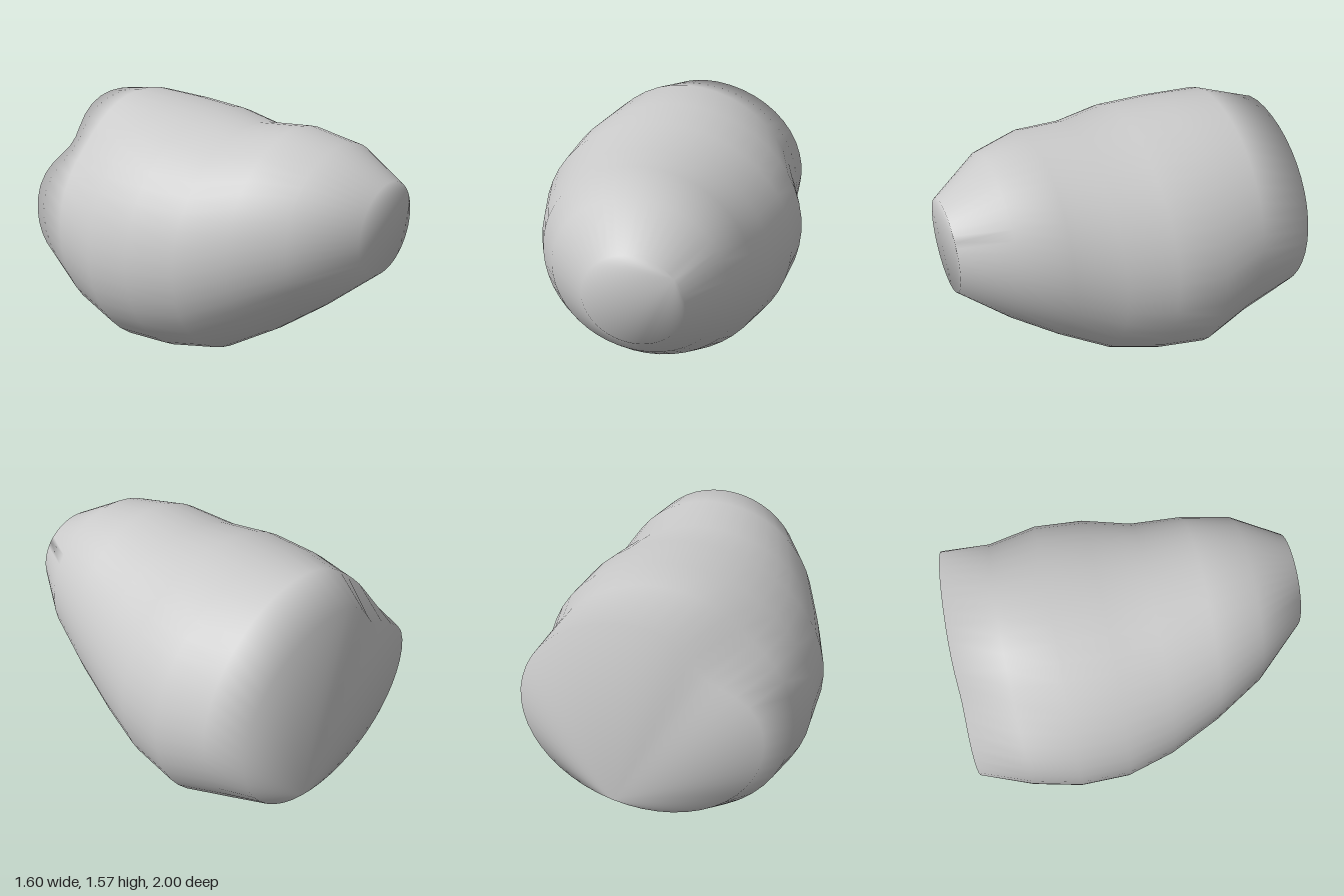
import * as THREE from 'three';

const SEGMENTS = 48;

// Cross-sections from front to back: z, left/right x limits, bottom/top y limits, dent depth
const SECTIONS = [
  [1.0, -0.17, 0.39, 0.78, 1.32, 0],
  [0.71, -0.44, 0.56, 0.52, 1.49, 0],
  [0.43, -0.60, 0.64, 0.30, 1.54, 0],
  [0.14, -0.72, 0.70, 0.11, 1.51, 0],
  [-0.14, -0.80, 0.78, 0.04, 1.55, 0],
  [-0.43, -0.80, 0.80, 0.0, 1.56, 0],
  [-0.71, -0.75, 0.71, 0.09, 1.575, 0.05],
  [-1.0, -0.66, 0.71, 0.29, 1.51, 0.22],
];

const DENT_ANGLE = THREE.MathUtils.degToRad(132);

function createBodyGeometry() {
  const positions = [];
  const indices = [];

  // Rounded rings, with a shallow hollow in the upper side near the back
  for (const [z, x0, x1, y0, y1, dent] of SECTIONS) {
    for (let j = 0; j < SEGMENTS; j++) {
      const angle = (j / SEGMENTS) * Math.PI * 2;
      const r = 1 - dent * Math.exp(-(((angle - DENT_ANGLE) / 0.38) ** 2));
      positions.push(
        (x0 + x1) / 2 + ((x1 - x0) / 2) * r * Math.cos(angle),
        (y0 + y1) / 2 + ((y1 - y0) / 2) * r * Math.sin(angle),
        z
      );
    }
  }

  // Skin between neighbouring rings
  const at = (i, j) => i * SEGMENTS + (j % SEGMENTS);
  for (let i = 0; i < SECTIONS.length - 1; i++) {
    for (let j = 0; j < SEGMENTS; j++) {
      indices.push(at(i, j), at(i + 1, j), at(i, j + 1));
      indices.push(at(i, j + 1), at(i + 1, j), at(i + 1, j + 1));
    }
  }

  // Flat ends, each fanned from one rim point and sharing the rim normals
  const last = SECTIONS.length - 1;
  const frontStart = Math.round(SEGMENTS * 0.1);
  const backStart = Math.round(SEGMENTS * 0.79);
  for (let k = 1; k < SEGMENTS - 1; k++) {
    indices.push(at(0, frontStart), at(0, frontStart + k), at(0, frontStart + k + 1));
    indices.push(at(last, backStart), at(last, backStart + k + 1), at(last, backStart + k));
  }

  const geometry = new THREE.BufferGeometry();
  geometry.setAttribute('position', new THREE.Float32BufferAttribute(positions, 3));
  geometry.setIndex(indices);
  geometry.computeVertexNormals();
  return geometry;
}

export function createModel() {
  const group = new THREE.Group();
  group.name = 'roundedBlob';
  const body = new THREE.Mesh(
    createBodyGeometry(),
    new THREE.MeshStandardMaterial({ color: 0xcccccc })
  );
  body.name = 'body';
  group.add(body);
  return group;
}
